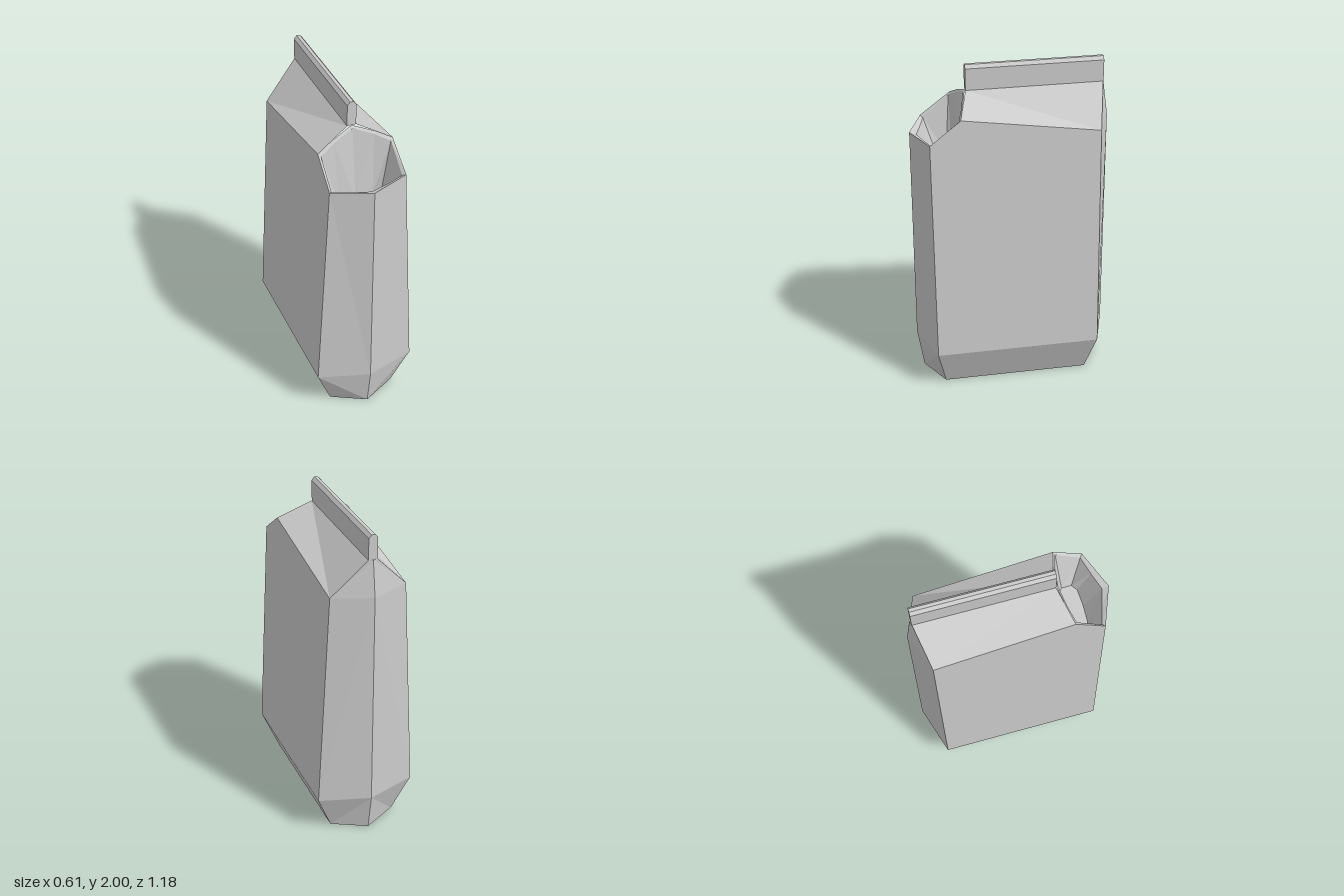
import * as THREE from 'three';

const material = new THREE.MeshStandardMaterial({ color: 0xcccccc, flatShading: true });
const innerMaterial = new THREE.MeshStandardMaterial({ color: 0xcccccc, flatShading: true, side: THREE.DoubleSide });

// Fans each polygon of the left half into triangles and mirrors it to the right half
function mirroredMesh(name, faces, mat) {
  const pos = [];
  for (const f of faces) {
    for (let i = 1; i < f.length - 1; i++) {
      const tri = [f[0], f[i], f[i + 1]];
      for (const p of tri) pos.push(...p);
      for (const [x, y, z] of tri.reverse()) pos.push(-x, y, z);
    }
  }
  const g = new THREE.BufferGeometry();
  g.setAttribute('position', new THREE.Float32BufferAttribute(pos, 3));
  g.computeVertexNormals();
  const mesh = new THREE.Mesh(g, mat);
  mesh.name = name;
  return mesh;
}

// Quads joining two matching open rows of points
const strip = (a, b) => a.slice(1).map((p, i) => [a[i], p, b[i + 1], b[i]]);

export function createModel() {
  const group = new THREE.Group();
  group.name = 'openBag';

  // Left half of each cross-section: front middle, front corner, back corner, back middle
  const ring = (y, x, corner, mid) => [[0, y, mid], [x, y, corner], [x, y, -corner], [0, y, -mid]];
  const base = ring(0, 0.205, 0.44, 0.55);
  const belly = ring(0.25, 0.305, 0.495, 0.59);
  const frontMid = [0, 1.605, 0.59], frontCorner = [0.23, 1.61, 0.5];
  const shoulder = [0.225, 1.75, 0.32];
  const backCorner = [0.23, 1.63, -0.495], backMid = [0, 1.63, -0.585];
  const ridgeFront = [0.027, 1.85, 0.262], ridgeBack = [0.027, 1.85, -0.548];

  // Tapered foot and bottom
  group.add(mirroredMesh('foot', [
    ...strip(base, belly),
    [base[0], base[3], base[2], base[1]],
  ], material));

  // Front, side and back walls
  group.add(mirroredMesh('walls', [
    [belly[0], belly[1], frontCorner, frontMid],
    [belly[1], belly[2], backCorner, shoulder, frontCorner],
    [belly[2], belly[3], backMid, backCorner],
  ], material));

  // Sloping roof and back gusset
  group.add(mirroredMesh('roof', [
    [ridgeFront, shoulder, backCorner, ridgeBack],
    [backCorner, backMid, [0, 1.85, -0.555], ridgeBack],
  ], material));

  // Mouth: rim lip and the hollow inside it
  const rim = [[0, 1.85, 0.262], [0.126, 1.8, 0.291], shoulder, frontCorner, [0.115, 1.607, 0.545], frontMid];
  const lip = [[0, 1.835, 0.275], [0.12, 1.785, 0.3], [0.21, 1.735, 0.33],
    [0.212, 1.6, 0.485], [0.105, 1.59, 0.517], [0, 1.59, 0.55]];
  const floor = [[0, 1.4, 0.325], [0.105, 1.4, 0.33], [0.14, 1.4, 0.36],
    [0.14, 1.4, 0.42], [0.105, 1.4, 0.445], [0, 1.4, 0.45]];
  group.add(mirroredMesh('mouthRim', strip(lip, rim), innerMaterial));
  group.add(mirroredMesh('mouthHollow', [...strip(floor, lip), [...floor].reverse()], innerMaterial));

  // Folded seal along the ridge
  const profile = [[-0.027, 1.85], [0.027, 1.85], [0.027, 1.98], [0.01, 2], [-0.01, 2], [-0.027, 1.98]];
  const shape = new THREE.Shape(profile.map(([x, y]) => new THREE.Vector2(x, y)));
  const sealGeometry = new THREE.ExtrudeGeometry(shape, { depth: 0.812, bevelEnabled: false });
  sealGeometry.translate(0, 0, -0.55);
  const seal = new THREE.Mesh(sealGeometry, material);
  seal.name = 'topSeal';
  group.add(seal);

  return group;
}
